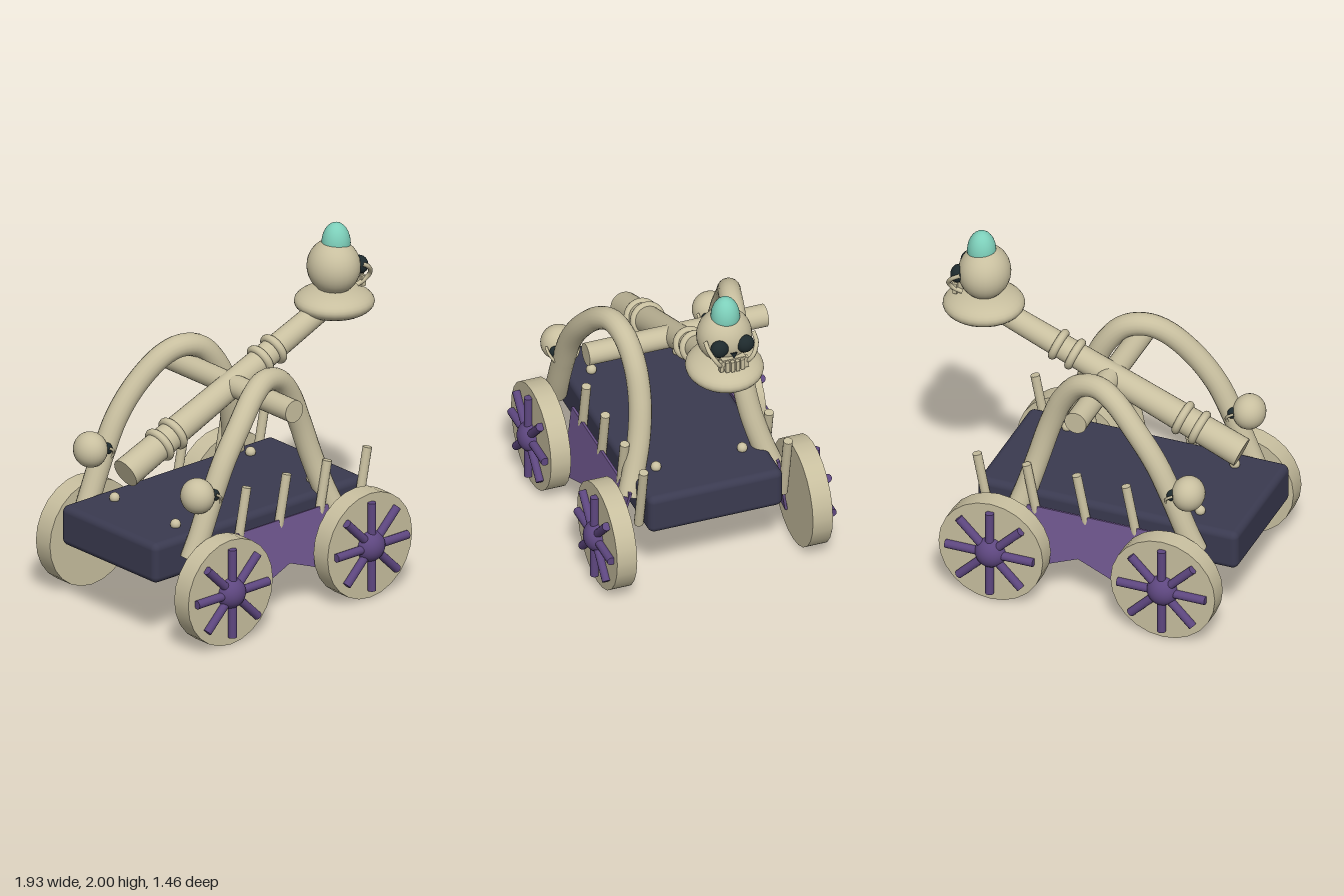
import * as THREE from 'three';
import { RoundedBoxGeometry } from 'three/addons/geometries/RoundedBoxGeometry.js';

const flat = (color) => new THREE.MeshStandardMaterial({ color });
const V = (x, y, z) => new THREE.Vector3(x, y, z);

export function createModel() {
  const root = new THREE.Group();
  root.name = 'skullCatapult';

  const palette = {
    bone: flat(0xc8bf9f), deck: flat(0x3a3a50), panel: flat(0x6d558c),
    spoke: flat(0x5e4780), egg: flat(0x7dcfba), socket: flat(0x1e2a2d),
  };
  for (const key in palette) palette[key].name = key;
  const { bone, deck, panel, spoke, egg, socket } = palette;

  const add = (parent, name, geometry, material, x = 0, y = 0, z = 0) => {
    const mesh = new THREE.Mesh(geometry, material);
    mesh.name = name;
    mesh.position.set(x, y, z);
    parent.add(mesh);
    return mesh;
  };
  const ball = (parent, name, mat, r, x, y, z, sx = 1, sy = 1, sz = 1) => {
    const mesh = add(parent, name, new THREE.SphereGeometry(r, 28, 18), mat, x, y, z);
    mesh.scale.set(sx, sy, sz);
    return mesh;
  };
  // Cylinder from a to b
  const rod = (parent, name, mat, a, b, ra, rb = ra, sides = 20) => {
    const dir = b.clone().sub(a);
    const mesh = add(parent, name, new THREE.CylinderGeometry(rb, ra, dir.length(), sides), mat);
    mesh.position.copy(a).add(b).multiplyScalar(0.5);
    mesh.quaternion.setFromUnitVectors(V(0, 1, 0), dir.normalize());
    return mesh;
  };

  // Skull facing +x, origin at the middle of the cranium
  const makeSkull = (name, x, y, z, scale) => {
    const skull = new THREE.Group();
    skull.name = name;
    skull.position.set(x, y, z);
    skull.scale.setScalar(scale);
    ball(skull, 'cranium', bone, 0.155, -0.005, 0.005, 0, 0.96, 1.04, 1.03);
    for (const s of [1, -1]) {
      ball(skull, 'eyeSocket', socket, 0.053, 0.125, 0.005, s * 0.077, 0.8, 1, 1);
      const cheek = new THREE.CatmullRomCurve3([
        V(0.08, 0.04, s * 0.145), V(0.135, 0.005, s * 0.142),
        V(0.17, -0.05, s * 0.11), V(0.155, -0.09, s * 0.085), V(0.1, -0.115, s * 0.075),
      ]);
      add(skull, 'cheekbone', new THREE.TubeGeometry(cheek, 20, 0.013, 8), bone);
    }
    const nose = new THREE.Shape([
      new THREE.Vector2(-0.02, 0), new THREE.Vector2(0, -0.035), new THREE.Vector2(0.02, 0)]);
    const noseMesh = add(skull, 'nose',
      new THREE.ExtrudeGeometry(nose, { depth: 0.009, bevelEnabled: false }), socket, 0.145, -0.025, 0);
    noseMesh.rotation.y = Math.PI / 2;
    add(skull, 'upperJaw', new THREE.BoxGeometry(0.1, 0.04, 0.14), bone, 0.105, -0.08, 0);
    for (let i = 0; i < 6; i++) {
      const t = (i - 2.5) / 2.5;
      add(skull, 'tooth', new THREE.BoxGeometry(0.03, 0.065, 0.022), bone,
        0.167 - 0.022 * t * t, -0.1, t * 0.075);
    }
    root.add(skull);
  };

  // Deck with studs above and below
  add(root, 'deck', new RoundedBoxGeometry(1.58, 0.24, 0.81, 4, 0.04), deck, -0.18, 0.5, 0);
  for (const x of [-0.69, 0.33])
    for (const z of [-0.26, 0.26])
      for (const y of [0.365, 0.635]) ball(root, 'stud', bone, 0.03, x, y, z);

  // Notched side panel outline, measured from its upper edge
  const outline = new THREE.Shape([
    [-0.5, 0], [-0.43, -0.41], [-0.045, -0.262], [0.34, -0.41], [0.42, 0],
  ].map(([x, y]) => new THREE.Vector2(x, y)));
  const panelGeo = new THREE.ExtrudeGeometry(outline, { depth: 0.016, bevelEnabled: false });
  panelGeo.translate(0, 0, -0.008);

  for (const s of [1, -1]) {
    // Wheels with eight spokes and a domed hub
    for (const x of [-0.62, 0.425]) {
      const wheel = new THREE.Group();
      wheel.name = 'wheel';
      wheel.position.set(x, 0.32, 0);
      root.add(wheel);
      rod(wheel, 'wheelDisc', bone, V(0, 0, s * 0.53), V(0, 0, s * 0.65), 0.317, 0.317, 24);
      for (let i = 0; i < 4; i++) {
        const a = i * Math.PI / 4, c = Math.cos(a) * 0.267, d = Math.sin(a) * 0.267;
        rod(wheel, 'spoke', spoke, V(-c, -d, s * 0.667), V(c, d, s * 0.667), 0.025, 0.025, 12);
      }
      ball(wheel, 'hub', spoke, 0.092, 0, 0, s * 0.65, 1, 1, 0.88);
    }

    // Leaning side panel
    const side = add(root, 'sidePanel', panelGeo, panel, 0, 0.55, s * 0.445);
    side.rotation.x = -s * 0.19;

    // Slanted rail posts
    for (const x of [-0.31, -0.01, 0.295, 0.595])
      rod(root, 'railPost', bone, V(x - 0.08, 0.41, s * 0.435), V(x, 0.81, s * 0.435), 0.027, 0.027, 14);

    // Curved rib arch
    const arch = new THREE.CatmullRomCurve3([
      [-0.74, 0.5, 0.455], [-0.69, 0.61, 0.46], [-0.6, 0.82, 0.46], [-0.5, 1.02, 0.455],
      [-0.37, 1.19, 0.435], [-0.22, 1.33, 0.39], [-0.11, 1.373, 0.355], [0.01, 1.345, 0.33],
      [0.12, 1.22, 0.31], [0.2, 1.03, 0.308], [0.26, 0.82, 0.335], [0.31, 0.63, 0.385], [0.35, 0.5, 0.43],
    ].map(([x, y, z]) => V(x, y, s * z)));
    add(root, 'ribArch', new THREE.TubeGeometry(arch, 64, 0.066, 18), bone);
    // Closed ends of the arch
    for (const t of [0, 1]) {
      const p = arch.getPoint(t), dir = arch.getTangent(t).multiplyScalar(0.006);
      rod(root, 'ribEnd', bone, p.clone().sub(dir), p.clone().add(dir), 0.066, 0.066, 18);
    }
    makeSkull('smallSkull', -0.695, 0.865, s * 0.457, 0.64);
  }

  // Axle and throwing arm with paired rings
  rod(root, 'crossbar', bone, V(-0.045, 1.23, -0.54), V(-0.045, 1.23, 0.54), 0.066, 0.066, 24);
  const start = V(-0.837, 0.902, 0), end = V(0.66, 1.515, 0);
  rod(root, 'throwingArm', bone, start, end, 0.088, 0.066, 28);
  const armDir = end.clone().sub(start).normalize();
  for (const [x, r] of [[-0.58, 0.082], [-0.48, 0.081], [0.175, 0.074], [0.275, 0.073]]) {
    const ring = add(root, 'armRing', new THREE.TorusGeometry(r, 0.024, 12, 32), bone);
    ring.position.copy(start).addScaledVector(armDir, (x - start.x) / armDir.x);
    ring.quaternion.setFromUnitVectors(V(0, 0, 1), armDir);
  }

  // Cup, large skull and the egg on top
  const cup = ball(root, 'cup', bone, 0.235, 0.73, 1.528, 0, 1, 0.385, 0.94);
  cup.rotation.z = -0.04;
  makeSkull('largeSkull', 0.73, 1.735, 0, 1);
  const eggProfile = [];
  for (let i = 0; i <= 16; i++) {
    const a = -Math.PI / 2 + i * Math.PI / 16;
    eggProfile.push(new THREE.Vector2(
      Math.abs(Math.cos(a)) * 0.083, Math.sin(a) * (a > 0 ? 0.125 : 0.08)));
  }
  add(root, 'egg', new THREE.LatheGeometry(eggProfile, 28), egg, 0.743, 1.875, 0);

  return root;
}
